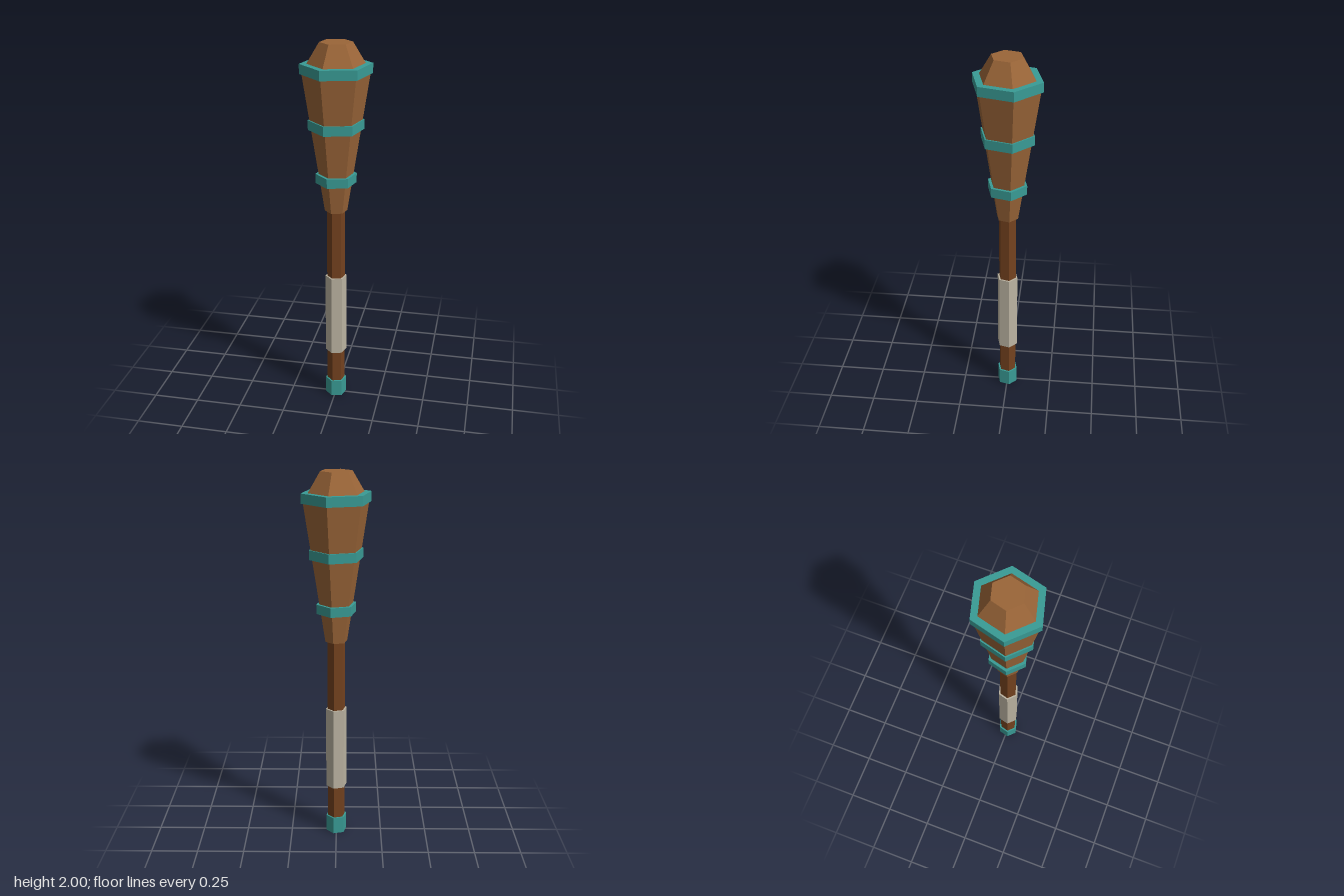
import * as THREE from 'three';

const SIDES = 6;
const TURN = Math.PI / 4; // every part shares the same twist about y

export function createModel() {
  const group = new THREE.Group();
  const material = (name, color) => {
    const m = new THREE.MeshStandardMaterial({ color, flatShading: true });
    m.name = name;
    return m;
  };
  const clubWood = material('clubWood', 0x9a6538);
  const handleWood = material('handleWood', 0x74421f);
  const wrap = material('gripWrap', 0xbcb4a2);
  const teal = material('tealMetal', 0x399b95);

  // Six-sided section between two heights
  const section = (name, y0, y1, r0, r1, mat) => {
    const geo = new THREE.CylinderGeometry(r1, r0, y1 - y0, SIDES, 1, false, TURN);
    const mesh = new THREE.Mesh(geo, mat);
    mesh.name = name;
    mesh.position.y = (y0 + y1) / 2;
    group.add(mesh);
  };

  // Handle
  section('pommel', 0, 0.095, 0.0575, 0.0575, teal);
  section('handle', 0.05, 1.15, 0.048, 0.048, handleWood);
  section('grip', 0.28, 0.74, 0.0575, 0.0575, wrap);

  // Flared head with a tapered tip
  section('clubHead', 1.12, 1.87, 0.059, 0.175, clubWood);
  section('clubTip', 1.88, 2, 0.155, 0.083, clubWood);

  // Bands around the head: bottom height, radius
  [[1.275, 0.107], [1.56, 0.143], [1.845, 0.183]].forEach(([y, r], i) =>
    section(`band${i + 1}`, y, y + 0.05, r, r, teal));

  return group;
}
